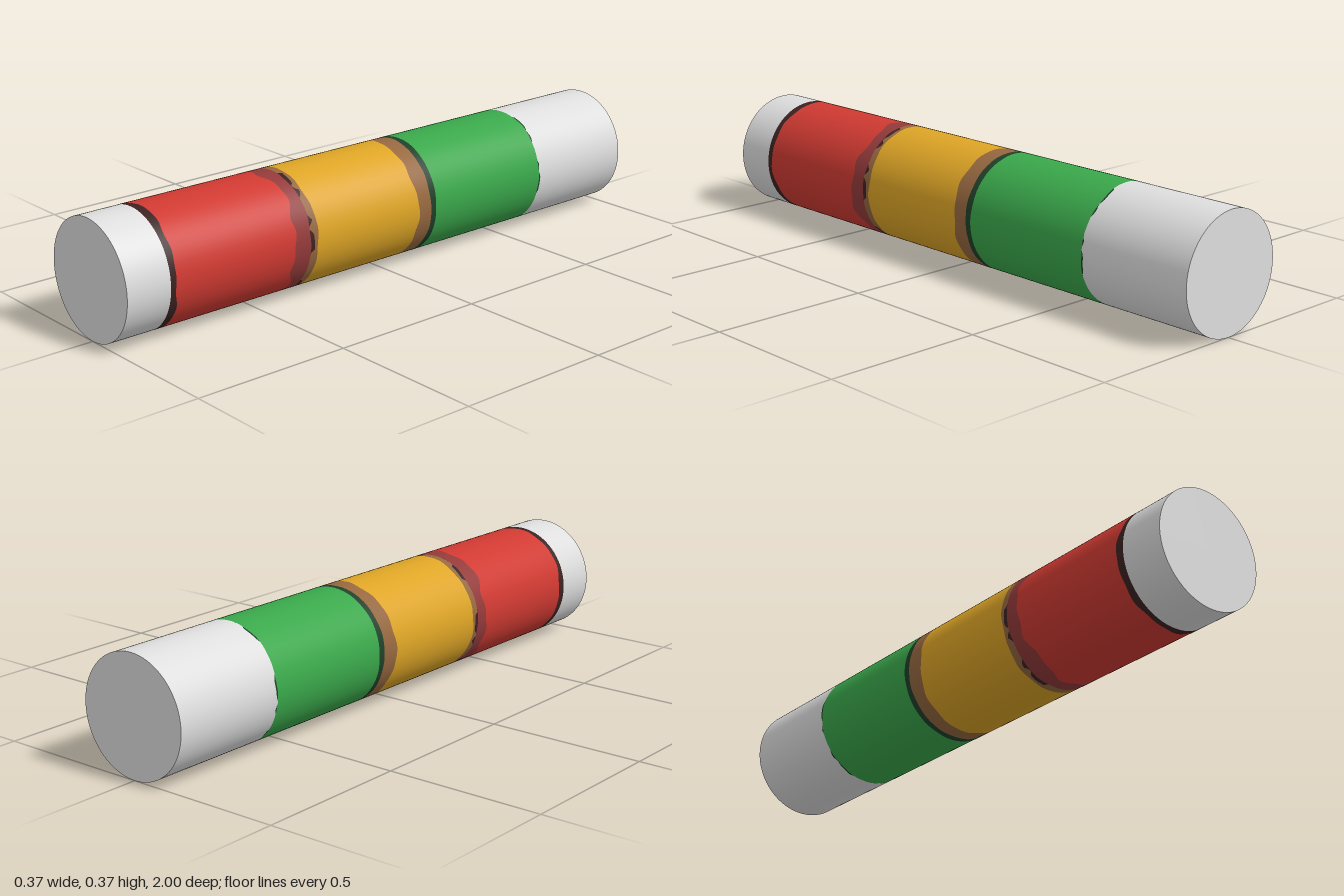
import * as THREE from 'three';

const RADIUS = 0.185;
const SIDES = 128;

function paint(name, color) {
  const m = new THREE.MeshStandardMaterial({ color });
  m.name = name;
  return m;
}

// Small irregular ripple around the tube, about -1 to 1
const ripple = (a, seed) =>
  0.5 * Math.sin(3 * a + seed) + 0.3 * Math.sin(7 * a + 2.1 * seed) + 0.2 * Math.sin(13 * a + 3.7 * seed);

// Edge of a band: a z position plus a ripple
const edge = (z, amount = 0, seed = 0) => (a) => z + amount * ripple(a, seed);

// Edge that leaves a base edge only in places, giving a broken thin line
const dashes = (base, width, seed) => (a) => base(a) - width * Math.max(0, Math.min(1, 3 * ripple(a * 2, seed)));

// Open tube section running between two edges
function band(name, material, front, back) {
  const geo = new THREE.CylinderGeometry(RADIUS, RADIUS, 1, SIDES, 1, true);
  geo.rotateX(Math.PI / 2);
  const p = geo.attributes.position;
  for (let i = 0; i < p.count; i++) {
    const a = Math.atan2(p.getY(i), p.getX(i));
    p.setZ(i, p.getZ(i) > 0 ? front(a) : back(a));
  }
  const mesh = new THREE.Mesh(geo, material);
  mesh.name = name;
  return mesh;
}

export function createModel() {
  const white = paint('white', 0xdedede);
  const red = paint('red', 0xd03a32);
  const yellow = paint('yellow', 0xdea526);
  const green = paint('green', 0x3aa84b);
  const darkRed = paint('dark red', 0x943a3a);
  const brown = paint('brown', 0x96683f);
  const black = paint('brownish black', 0x3c2222);
  const darkGreen = paint('dark green', 0x1f4029);

  const model = new THREE.Group();
  model.name = 'stripedTube';
  const tube = new THREE.Group();
  tube.name = 'tube';
  tube.position.y = RADIUS;
  model.add(tube);

  // Edges from front to back
  const frontEnd = edge(1);
  const whiteEnd = edge(0.855);
  const redStart = edge(0.832, 0.008, 1);
  const redEnd = edge(0.405, 0.02, 2);
  const lineStart = edge(0.353, 0.004, 3);
  const lineEnd = dashes(lineStart, 0.014, 1);
  const yellowStart = edge(0.327, 0.006, 4);
  const yellowEnd = edge(-0.075, 0.009, 5);
  const brownEnd = edge(-0.13, 0.003, 6);
  const greenStart = edge(-0.152, 0.002, 7);
  const greenEnd = edge(-0.612, 0.004, 8);
  const greenLineEnd = dashes(greenEnd, 0.006, 2);
  const backEnd = edge(-1);

  tube.add(
    band('frontSection', white, frontEnd, whiteEnd),
    band('frontDarkRing', black, whiteEnd, redStart),
    band('redBand', red, redStart, redEnd),
    band('darkRedRing', darkRed, redEnd, lineStart),
    band('brokenLine', black, lineStart, lineEnd),
    band('frontBrownRing', brown, lineEnd, yellowStart),
    band('yellowBand', yellow, yellowStart, yellowEnd),
    band('rearBrownRing', brown, yellowEnd, brownEnd),
    band('darkGreenRing', darkGreen, brownEnd, greenStart),
    band('greenBand', green, greenStart, greenEnd),
    band('greenBrokenLine', darkGreen, greenEnd, greenLineEnd),
    band('rearSection', white, greenLineEnd, backEnd)
  );

  // Flat end discs
  for (const [name, z] of [['frontCap', 1], ['rearCap', -1]]) {
    const cap = new THREE.Mesh(new THREE.CircleGeometry(RADIUS, SIDES), white);
    cap.name = name;
    cap.position.z = z;
    if (z < 0) cap.rotation.y = Math.PI;
    tube.add(cap);
  }
  return model;
}
